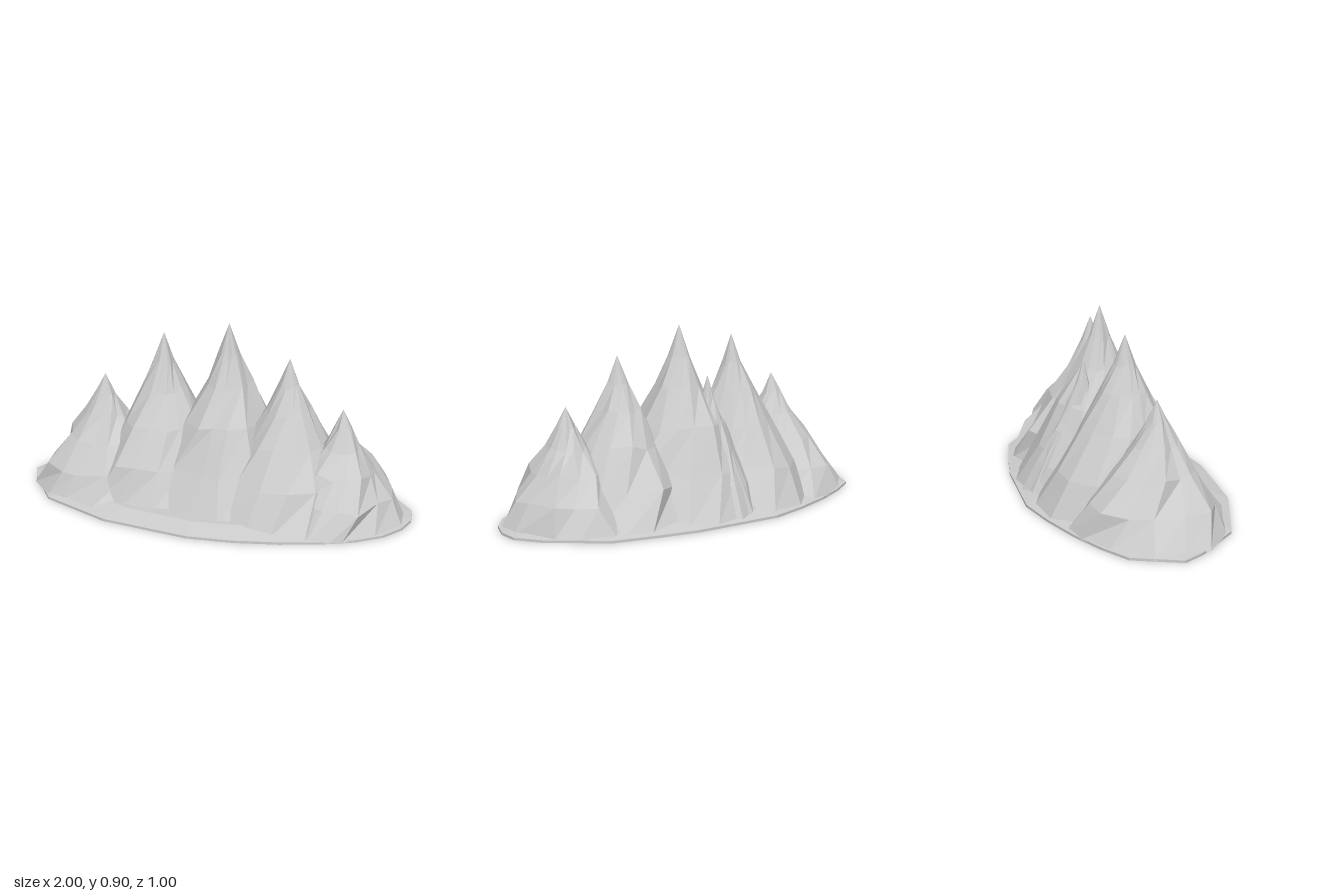
import * as THREE from 'three';

// Small seeded generator for the rock irregularity
function seeded(seed) {
  let s = seed;
  return () => (s = (s * 16807) % 2147483647) / 2147483647;
}

// Faceted skin over loops of equal length, ordered from top to bottom
function skin(loops) {
  const n = loops[0].length;
  const position = loops.flat().flatMap((p) => [p.x, p.y, p.z]);
  const index = [];
  for (let i = 0; i < loops.length - 1; i++) {
    for (let j = 0; j < n; j++) {
      const k = (j + 1) % n;
      const a = i * n + j, b = i * n + k, c = a + n, d = b + n;
      if (!loops[i][j].equals(loops[i][k])) index.push(a, b, d);
      if (!loops[i + 1][j].equals(loops[i + 1][k])) index.push(c, a, d);
    }
  }
  const g = new THREE.BufferGeometry();
  g.setAttribute('position', new THREE.Float32BufferAttribute(position, 3));
  g.setIndex(index);
  g.computeVertexNormals();
  return g;
}

// Ground outline, x and z
const OUTLINE = [
  [1, 0], [0.97, 0.1], [0.9, 0.2], [0.78, 0.29], [0.63, 0.36], [0.45, 0.42],
  [0.24, 0.47], [0.02, 0.495], [-0.42, 0.45], [-0.78, 0.31], [-0.95, 0.1],
  [-1, 0], [-0.9, -0.22], [-0.77, -0.3], [-0.6, -0.38], [-0.4, -0.45],
  [-0.2, -0.5], [0.24, -0.48], [0.45, -0.44], [0.66, -0.39], [0.8, -0.28],
  [0.9, -0.21], [0.99, -0.1],
];

// Share of reach and share of height, from summit to foot
const PROFILE = [[0, 1], [0.12, 0.83], [0.27, 0.67], [0.5, 0.47], [0.75, 0.24], [1, 0.012]];

// Summit position, reach sideways, to the front and to the back
const PEAKS = [
  { name: 'farRightPeak', at: [-0.57, 0.6, 0.02], side: 0.4, front: 0.35, back: 0.4 },
  { name: 'rightPeak', at: [-0.27, 0.83, -0.03], side: 0.4, front: 0.42, back: 0.43 },
  { name: 'middlePeak', at: [0.06, 0.9, -0.05], side: 0.42, front: 0.44, back: 0.43 },
  { name: 'leftPeak', at: [0.38, 0.77, 0], side: 0.4, front: 0.41, back: 0.43 },
  { name: 'farLeftPeak', at: [0.65, 0.55, 0.02], side: 0.33, front: 0.36, back: 0.4 },
  { name: 'backCrag', at: [-0.03, 0.66, -0.16], side: 0.24, front: 0.2, back: 0.31 },
];

function peakGeometry({ at: [px, py, pz], side, front, back }, seed) {
  const rand = seeded(seed * 7919 + 13);
  const jitter = (amount) => (rand() * 2 - 1) * amount;
  const sides = 15;
  const spurs = Array.from({ length: sides }, () => 1 + jitter(0.06));
  const loops = PROFILE.map(([t, h], ring) =>
    Array.from({ length: sides }, (_, j) => {
      if (ring === 0) return new THREE.Vector3(px, py, pz);
      const foot = ring === PROFILE.length - 1;
      const angle = ((j + ring * 0.3 + jitter(0.2)) / sides) * Math.PI * 2;
      const reach = t * spurs[j] * (1 + jitter(0.05));
      const sin = Math.sin(angle);
      let x = px + Math.cos(angle) * side * reach;
      let z = pz + sin * (sin > 0 ? front : back) * reach;
      // keep the slope inside the ground outline
      const limit = 0.98 - (1 - t) * 0.1;
      const spread = Math.hypot(x, z / 0.49);
      if (spread > limit) { x *= limit / spread; z *= limit / spread; }
      return new THREE.Vector3(x, py * h + (foot ? 0 : jitter(0.015)), z);
    }));
  return skin(loops);
}

export function createModel() {
  const group = new THREE.Group();
  group.name = 'mountainRange';
  const rock = new THREE.MeshStandardMaterial({ color: 0xcccccc, flatShading: true });
  const add = (name, geometry) => {
    const mesh = new THREE.Mesh(geometry, rock);
    mesh.name = name;
    group.add(mesh);
  };

  // Thin ground slab with a gently rising apron
  const loop = (scale, y) => OUTLINE.map(([x, z]) => new THREE.Vector3(x * scale, y, z * scale));
  add('ground', skin([loop(0, 0.05), loop(0.8, 0.042), loop(1, 0.012), loop(1, 0), loop(0, 0)]));

  // Overlapping faceted peaks
  PEAKS.forEach((peak, i) => add(peak.name, peakGeometry(peak, i + 1)));
  return group;
}
